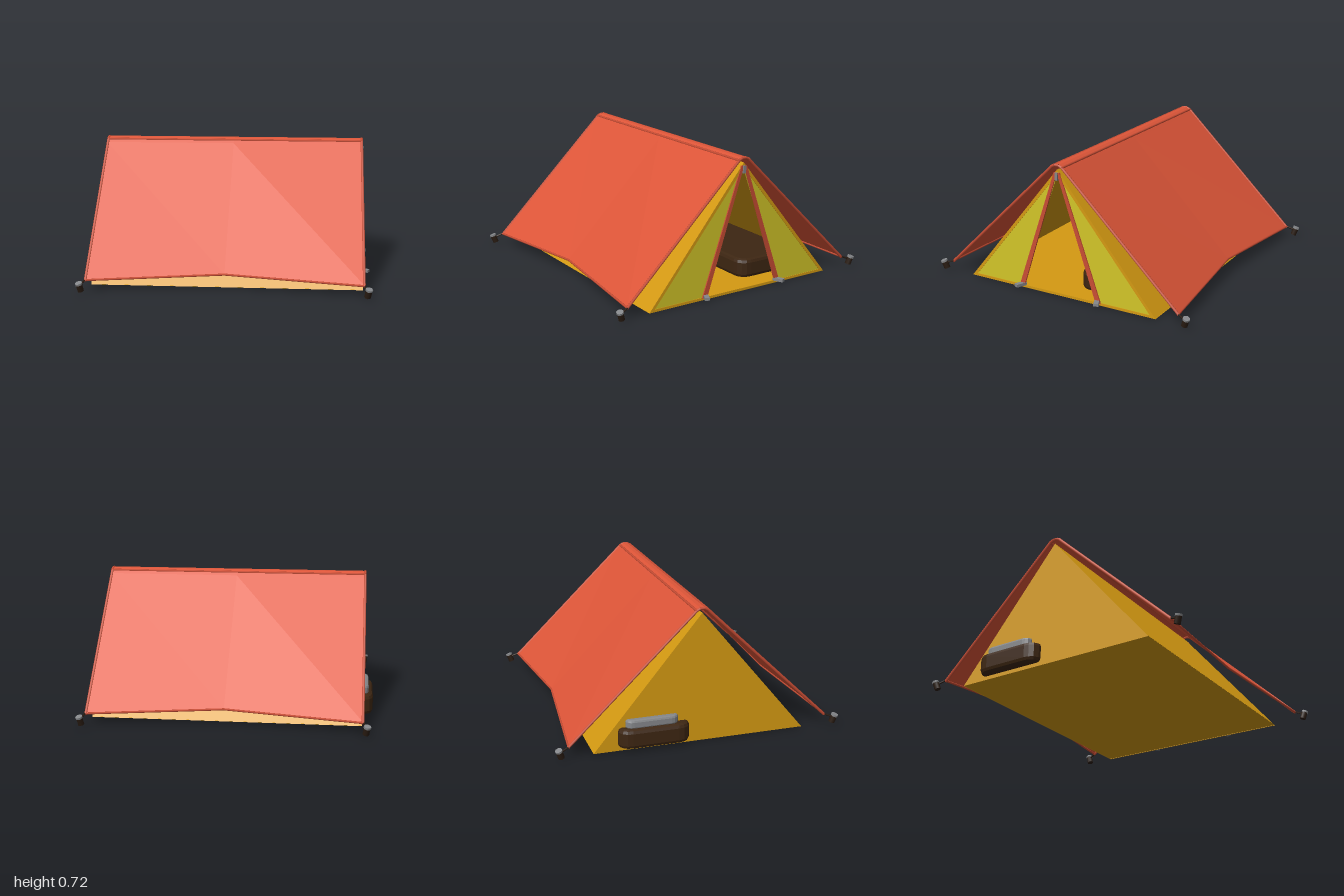
import * as THREE from 'three';

const HALF = 0.71;        // half length along the ridge (local x)
const BASE = 0.57;        // half width of the inner tent (local z)
const APEX = 0.69;

const mat = (name, color, double) => {
  const m = new THREE.MeshStandardMaterial({ color });
  m.name = name;
  if (double) m.side = THREE.DoubleSide;
  return m;
};

export function createModel() {
  const red = mat('fly red', 0xdd5538, true);
  const trim = mat('trim red', 0xc94d34);
  const amber = mat('inner amber', 0xd59a12, true);
  const yellow = mat('door yellow', 0xd2c528, true);
  const brown = mat('bag brown', 0x3d2612);
  const cord = mat('cord dark', 0x2a1c12);
  const grey = mat('metal grey', 0x85878a);

  const model = new THREE.Group();
  model.name = 'tent';
  const tent = new THREE.Group();
  tent.name = 'tentBody';
  tent.rotation.y = -23.4 * Math.PI / 180;
  model.add(tent);

  const add = (name, geo, material, x = 0, y = 0, z = 0) => {
    const m = new THREE.Mesh(geo, material);
    m.name = name;
    m.position.set(x, y, z);
    tent.add(m);
    return m;
  };

  // Faceted sheet through rows of [x, y, z] points
  const sheet = (name, rows, material) => {
    const p = [];
    for (let i = 0; i + 1 < rows.length; i++) {
      for (let j = 0; j + 1 < rows[i].length; j++) {
        const a = rows[i][j], b = rows[i][j + 1], c = rows[i + 1][j + 1], d = rows[i + 1][j];
        p.push(...a, ...b, ...c, ...a, ...c, ...d);
      }
    }
    const g = new THREE.BufferGeometry();
    g.setAttribute('position', new THREE.Float32BufferAttribute(p, 3));
    g.computeVertexNormals();
    return add(name, g, material);
  };

  // Thin rod between two points
  const rod = (name, a, b, r, material, sides = 6) => {
    const A = new THREE.Vector3(...a), B = new THREE.Vector3(...b);
    const d = B.clone().sub(A);
    const m = add(name, new THREE.CylinderGeometry(r, r, d.length(), sides), material);
    m.position.copy(A).add(B).multiplyScalar(0.5);
    m.quaternion.setFromUnitVectors(new THREE.Vector3(0, 1, 0), d.normalize());
    return m;
  };

  const polygon = pts => new THREE.Shape(pts.map(p => new THREE.Vector2(...p)));
  // Upright plate across the tent, drawn as (width, height)
  const plate = (name, shape, material, x, depth) => {
    const g = new THREE.ExtrudeGeometry(shape, { depth, bevelEnabled: false });
    add(name, g, material, x).rotation.y = Math.PI / 2;
  };

  // Inner tent: floor, sloping sides, back wall and front frame
  sheet('floor', [-HALF, HALF].map(x => [[x, 0.002, -BASE], [x, 0.002, BASE]]), amber);
  for (const s of [-1, 1]) {
    sheet('innerSide', [-HALF, HALF].map(x => [[x, 0, s * BASE], [x, APEX, 0]]), amber);
  }
  const triangle = [[-BASE, 0], [BASE, 0], [0, APEX]];
  plate('backWall', polygon(triangle), amber, -HALF, 0.004);
  const frame = polygon(triangle);
  frame.holes.push(polygon([[-0.538, 0.014], [0, 0.664], [0.538, 0.014]]));
  plate('frontFrame', frame, amber, HALF - 0.004, 0.006);

  // Door panels, zip strips and toggles
  for (const s of [-1, 1]) {
    const side = pts => polygon(pts.map(([z, y]) => [s * z, y]));
    plate('doorPanel', side([[0.235, 0.014], [0.538, 0.014], [0, 0.664]]), yellow, HALF - 0.004, 0.003);
    plate('zipStrip', side([[0.222, 0.01], [0.252, 0.01], [0.017, 0.675], [0, 0.675]]), trim, HALF - 0.002, 0.008);
    const t = add('zipToggle', new THREE.BoxGeometry(0.06, 0.016, 0.026), grey, HALF + 0.018, 0.02, s * 0.237);
    t.rotation.y = -s * 0.41;
  }
  add('topPull', new THREE.BoxGeometry(0.012, 0.04, 0.016), grey, HALF + 0.006, 0.655, 0);

  // Fly sheet: rounded ridge, lower edges drawn in at mid length
  const section = (x, z, y) => [
    [-z, y], [-0.05, 0.688], [-0.03, 0.708], [-0.012, 0.717],
    [0.012, 0.717], [0.03, 0.708], [0.05, 0.688], [z, y],
  ].map(([pz, py]) => [x, py, pz]);
  const E = HALF + 0.006;
  const ends = section(E, 0.7, 0.058);
  sheet('flySheet', [section(-E, 0.7, 0.058), section(0, 0.636, 0.087), ends], red);

  // Fly hems and ridge seams
  for (const e of [-1, 1]) {
    for (let i = 0; i + 1 < ends.length; i++) {
      const [a, b] = [ends[i], ends[i + 1]].map(p => [e * (p[0] - 0.004), p[1] - 0.004, p[2]]);
      rod('endHem', a, b, 0.008, trim);
    }
    for (const s of [-1, 1]) rod('lowerHem', [e * E, 0.058, s * 0.698], [0, 0.086, s * 0.634], 0.006, trim);
    rod('ridgeSeam', [-E, 0.704, e * 0.032], [E, 0.704, e * 0.032], 0.007, trim);
  }

  // Corner guy lines and pegs
  for (const e of [-1, 1]) {
    for (const s of [-1, 1]) {
      rod('guyLine', [e * E, 0.058, s * 0.7], [e * 0.729, 0.04, s * 0.745], 0.005, cord);
      rod('peg', [e * 0.727, 0.012, s * 0.738], [e * 0.733, 0.05, s * 0.75], 0.017, cord, 8);
      rod('pegCap', [e * 0.733, 0.048, s * 0.75], [e * 0.735, 0.058, s * 0.753], 0.019, grey, 8);
    }
  }

  // Rounded cushion lying flat
  const cushion = (name, length, height, width, r, bevel, material, x, y, z) => {
    const a = length / 2 - bevel, b = width / 2 - bevel;
    const s = new THREE.Shape();
    s.moveTo(-a + r, -b);
    s.lineTo(a - r, -b).quadraticCurveTo(a, -b, a, -b + r);
    s.lineTo(a, b - r).quadraticCurveTo(a, b, a - r, b);
    s.lineTo(-a + r, b).quadraticCurveTo(-a, b, -a, b - r);
    s.lineTo(-a, -b + r).quadraticCurveTo(-a, -b, -a + r, -b);
    const g = new THREE.ExtrudeGeometry(s, {
      depth: height - 2 * bevel, bevelSize: bevel, bevelThickness: bevel, bevelSegments: 2, curveSegments: 4,
    });
    g.rotateX(-Math.PI / 2);
    add(name, g, material, x, y + bevel, z);
  };
  cushion('sleepingBag', 1.39, 0.105, 0.38, 0.05, 0.02, brown, -0.07, 0.02, -0.255);
  cushion('pillow', 0.24, 0.05, 0.28, 0.03, 0.012, grey, -0.622, 0.118, -0.265);

  return model;
}
